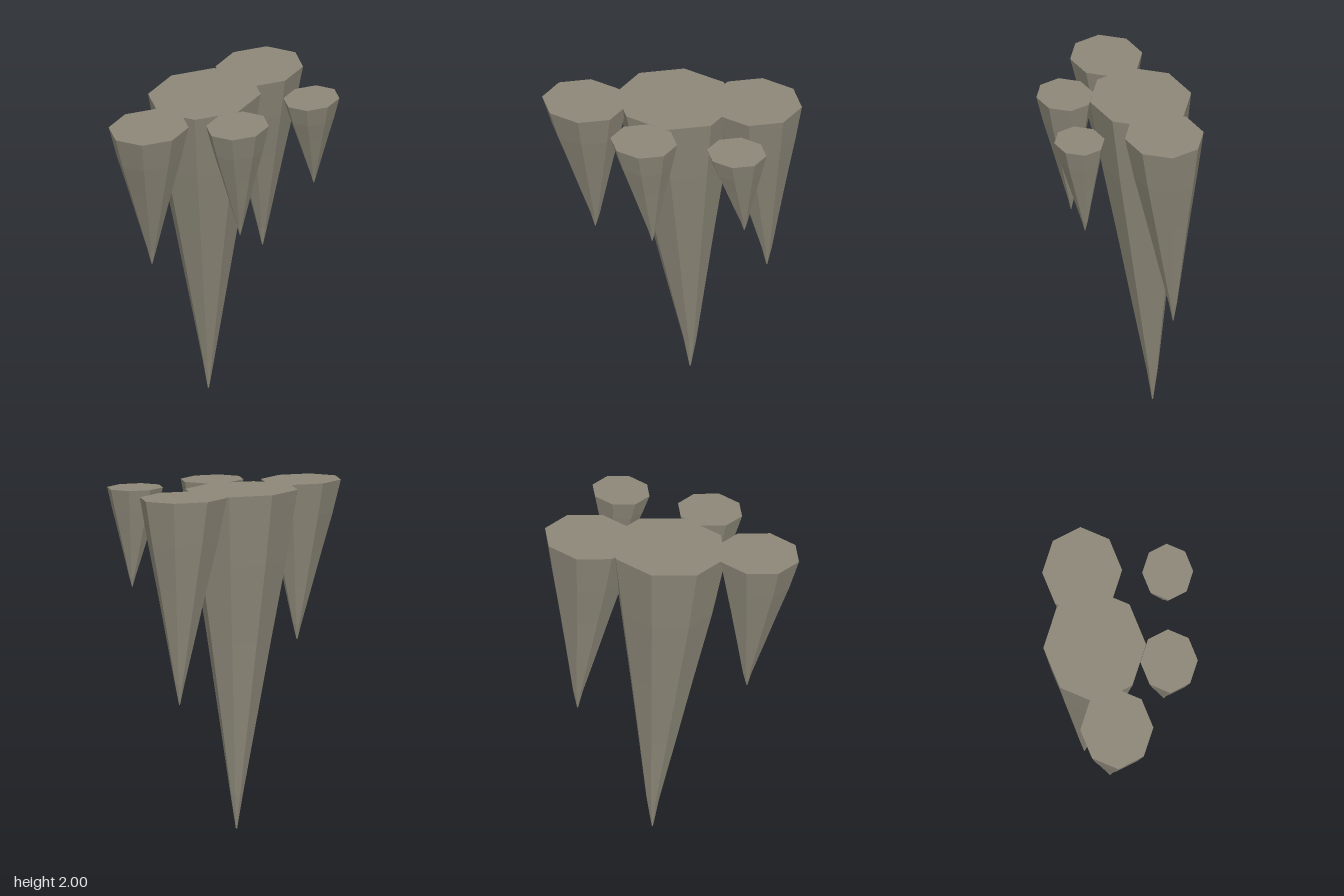
import * as THREE from 'three';

// Rings from root to tip: [depth fraction, radius fraction, lean fraction]
const RINGS = [
  [0, 1, 0], [0.21, 0.81, 0.18], [0.44, 0.57, 0.44],
  [0.67, 0.34, 0.7], [0.9, 0.11, 0.98], [1, 0.012, 1],
];
const TOP = 2;

// Tapering, slightly leaning eight-sided spike hanging from the ceiling plane
function spikeGeometry({ x, z, rx, rz, tip }) {
  const last = RINGS.length - 1;
  const base = new THREE.CylinderGeometry(1, 1, 1, 8, last);
  const p = base.attributes.position;
  for (let i = 0; i < p.count; i++) {
    const [t, r, lean] = RINGS[Math.round((0.5 - p.getY(i)) * last)];
    p.setXYZ(
      i,
      x + (tip[0] - x) * lean + p.getX(i) * rx * r,
      TOP + (tip[1] - TOP) * t,
      z + (tip[2] - z) * lean + p.getZ(i) * rz * r,
    );
  }
  // Faceted normals
  const faceted = base.toNonIndexed();
  faceted.computeVertexNormals();
  return faceted;
}

export function createModel() {
  const group = new THREE.Group();
  group.name = 'stalactiteCluster';
  const stone = new THREE.MeshStandardMaterial({ color: 0x8c8778 });
  stone.name = 'greyStone';

  const spikes = {
    mainStalactite: { x: 0.013, z: -0.153, rx: 0.357, rz: 0.302, tip: [0.092, 0, -0.21] },
    leftStalactite: { x: 0.482, z: -0.21, rx: 0.277, rz: 0.235, tip: [0.542, 0.78, -0.252] },
    rightStalactite: { x: -0.508, z: -0.042, rx: 0.253, rz: 0.215, tip: [-0.45, 1.06, -0.08] },
    frontStalactite: { x: -0.097, z: 0.28, rx: 0.199, rz: 0.169, tip: [-0.052, 1.25, 0.25] },
    smallStalactite: { x: 0.46, z: 0.292, rx: 0.177, rz: 0.15, tip: [0.5, 1.415, 0.266] },
  };
  for (const [name, spec] of Object.entries(spikes)) {
    const mesh = new THREE.Mesh(spikeGeometry(spec), stone);
    mesh.name = name;
    group.add(mesh);
  }
  return group;
}
